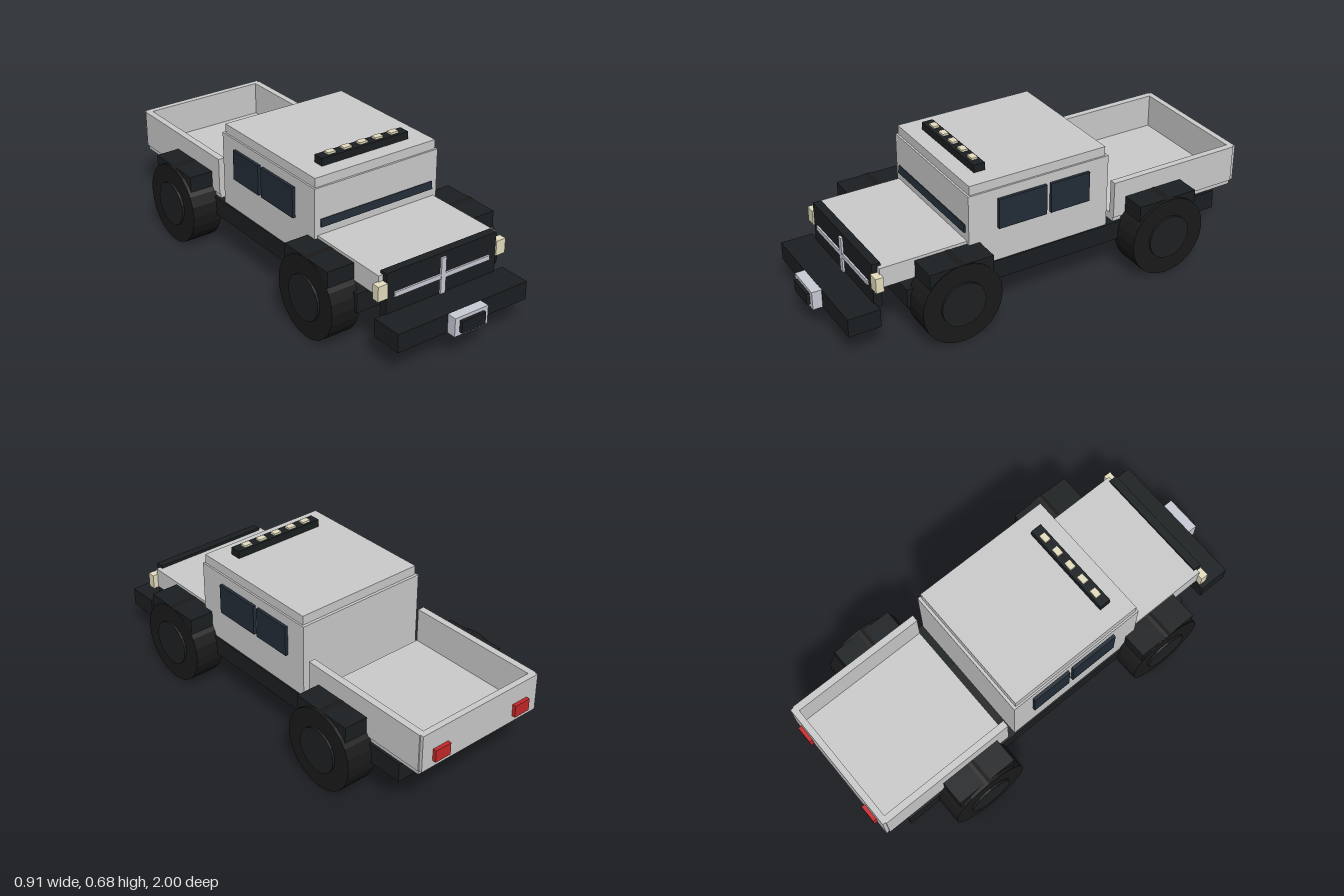
import * as THREE from 'three';

const mat = (color) => new THREE.MeshStandardMaterial({ color, flatShading: true });
const M = {
  body: mat(0xcccccc),
  trim: mat(0x1b1f21),
  rubber: mat(0x1a1a1a),
  hub: mat(0x1e2022),
  glass: mat(0x222c37),
  lamp: mat(0xe6dfc0),
  chrome: mat(0xc8ccd6),
  red: mat(0xc42828),
};

export function createModel() {
  const model = new THREE.Group();
  model.name = 'pickupTruck';

  // Box given by its limits on each axis
  const box = (name, m, [x0, x1], [y0, y1], [z0, z1]) => {
    const mesh = new THREE.Mesh(new THREE.BoxGeometry(x1 - x0, y1 - y0, z1 - z0), m);
    mesh.position.set((x0 + x1) / 2, (y0 + y1) / 2, (z0 + z1) / 2);
    mesh.name = name;
    model.add(mesh);
    return mesh;
  };
  // Same box on both sides of the truck
  const pair = (name, m, [x0, x1], y, z) => {
    box(name + 'Left', m, [x0, x1], y, z);
    box(name + 'Right', m, [-x1, -x0], y, z);
  };
  const wide = (w) => [-w, w];

  // Chassis, cab and hood
  box('chassis', M.trim, wide(0.325), [0.165, 0.252], [-0.87, 0.675]);
  box('cab', M.body, wide(0.318), [0.25, 0.59], [-0.29, 0.385]);
  box('roof', M.body, wide(0.31), [0.59, 0.632], [-0.277, 0.376]);
  box('hood', M.body, wide(0.303), [0.285, 0.377], [0.38, 0.78]);

  // Windows
  const windshield = box('windshield', M.glass, wide(0.29), [0.413, 0.448], [0.38, 0.392]);
  windshield.rotation.x = -0.15;
  pair('frontWindow', M.glass, [0.31, 0.332], [0.407, 0.545], [0.02, 0.25]);
  pair('rearWindow', M.glass, [0.31, 0.332], [0.407, 0.545], [-0.19, 0]);

  // Roof light bar
  box('lightBar', M.trim, wide(0.223), [0.632, 0.666], [0.252, 0.304]);
  for (let i = -2; i <= 2; i++) {
    const x = i * 0.081;
    box('roofLamp', M.lamp, [x - 0.02, x + 0.02], [0.66, 0.675], [0.262, 0.29]);
  }

  // Grille with crossed bars, headlights, bumper and winch
  box('grille', M.trim, wide(0.282), [0.187, 0.39], [0.765, 0.803]);
  box('grilleBarUpright', M.chrome, wide(0.012), [0.2, 0.371], [0.8, 0.812]);
  box('grilleBarAcross', M.chrome, wide(0.245), [0.277, 0.298], [0.8, 0.811]);
  pair('headlight', M.lamp, [0.28, 0.328], [0.283, 0.35], [0.775, 0.81]);
  box('bumper', M.trim, wide(0.333), [0.125, 0.208], [0.798, 0.942]);
  box('winchFrame', M.chrome, wide(0.085), [0.124, 0.208], [0.94, 0.985]);
  box('winch', M.trim, wide(0.061), [0.14, 0.193], [0.96, 1]);

  // Open cargo bed
  box('bedFloor', M.body, wide(0.315), [0.255, 0.288], [-0.965, -0.327]);
  pair('bedSide', M.body, [0.29, 0.321], [0.275, 0.445], [-0.968, -0.327]);
  box('tailgate', M.body, wide(0.316), [0.275, 0.445], [-0.983, -0.955]);
  pair('tailLight', M.red, [0.18, 0.26], [0.305, 0.36], [-1, -0.98]);

  // Wheels and fenders: axle position and inner/outer tyre faces
  const axles = [
    { name: 'front', z: 0.48, inner: 0.303, outer: 0.436 },
    { name: 'rear', z: -0.532, inner: 0.305, outer: 0.446 },
  ];
  const disc = (name, m, r, sides, x0, x1, z) => {
    const geo = new THREE.CylinderGeometry(r, r, x1 - x0, sides).rotateZ(Math.PI / 2);
    for (const s of [1, -1]) {
      const mesh = new THREE.Mesh(geo, m);
      mesh.position.set((s * (x0 + x1)) / 2, 0.183, z);
      mesh.name = name;
      model.add(mesh);
    }
  };
  for (const { name, z, inner, outer } of axles) {
    disc(name + 'Tyre', M.rubber, 0.183, 24, inner, outer, z);
    disc(name + 'Hub', M.hub, 0.101, 20, outer - 0.03, outer + 0.01, z);
    pair(name + 'Fender', M.trim, [0.303, 0.432], [0.322, 0.364], [z - 0.145, z + 0.145]);
    for (const s of [-1, 1]) {
      const a = z + s * 0.115, b = z + s * 0.145;
      pair(name + 'FenderFlap', M.trim, [0.303, 0.432], [0.275, 0.33],
        [Math.min(a, b), Math.max(a, b)]);
    }
  }

  return model;
}
